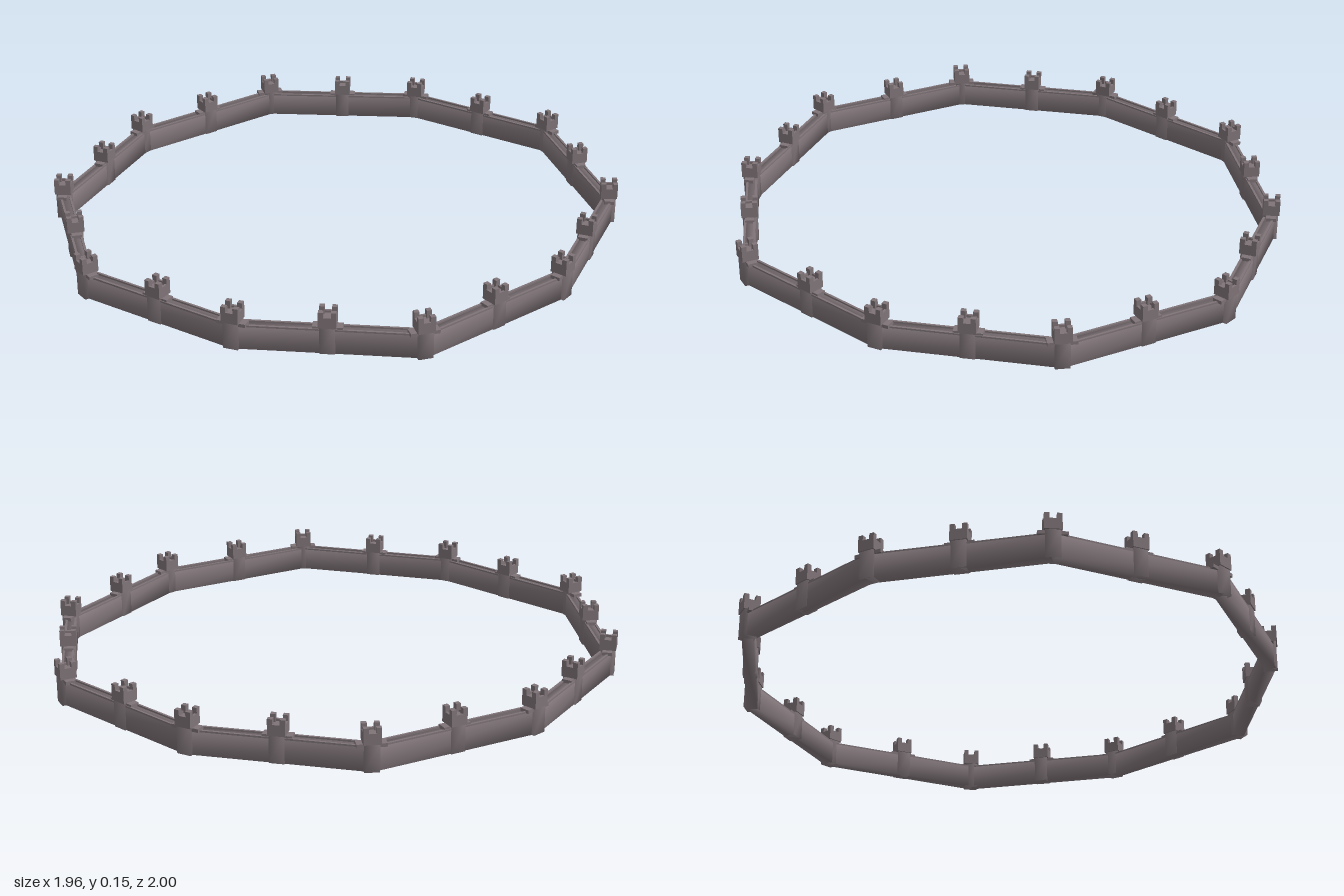
import * as THREE from 'three';
import { mergeVertices } from 'three/addons/utils/BufferGeometryUtils.js';

const stone = new THREE.MeshStandardMaterial({ color: 0x7f7478 });
stone.name = 'mauve grey stone';

// Box standing on height y0, optionally with soft shared normals
function block(parent, name, [w, h, d], [x, y0, z], soft = false) {
  let geo = new THREE.BoxGeometry(w, h, d);
  if (soft) {
    geo.deleteAttribute('normal');
    geo.deleteAttribute('uv');
    geo = mergeVertices(geo);
    geo.computeVertexNormals();
  }
  const mesh = new THREE.Mesh(geo, stone);
  mesh.name = name;
  mesh.position.set(x, y0 + h / 2, z);
  parent.add(mesh);
  return mesh;
}

// Square tower; local x runs along the wall, local z across it
function tower(name) {
  const g = new THREE.Group();
  g.name = name;
  block(g, 'towerBody', [0.05, 0.1, 0.05], [0, 0, 0], true);
  block(g, 'towerStep', [0.098, 0.012, 0.034], [0, 0.082, 0]);
  block(g, 'towerHead', [0.058, 0.03, 0.058], [0, 0.095, 0]);
  for (const sx of [-1, 1]) {
    for (const sz of [-1, 1]) {
      block(g, 'cornerMerlon', [0.017, 0.027, 0.017], [sx * 0.0205, 0.125, sz * 0.0205]);
    }
  }
  // low parapet between the merlons
  for (const s of [-1, 1]) {
    block(g, 'headParapet', [0.024, 0.008, 0.008], [0, 0.125, s * 0.025]);
    block(g, 'headParapet', [0.008, 0.008, 0.024], [s * 0.025, 0.125, 0]);
  }
  return g;
}

// Straight wall with a shallow walkway between two kerbs
function wall(length) {
  const g = new THREE.Group();
  g.name = 'wallSection';
  block(g, 'wallBody', [length, 0.081, 0.04], [0, 0, 0], true);
  for (const s of [-1, 1]) {
    block(g, 'wallKerb', [length, 0.006, 0.008], [0, 0.081, s * 0.016]);
  }
  return g;
}

export function createModel() {
  const model = new THREE.Group();
  model.name = 'ringWall';
  // Corner positions (x, z) around the ring
  const corners = [
    [-0.04, -0.97], [0.525, -0.795], [0.93, -0.365], [0.945, 0.24], [0.595, 0.72],
    [0.045, 0.97], [-0.525, 0.77], [-0.935, 0.34], [-0.945, -0.255], [-0.595, -0.73],
  ].map(([x, z]) => new THREE.Vector3(x, 0, z));
  const n = corners.length;
  const angle = (d) => Math.atan2(-d.z, d.x);

  corners.forEach((a, i) => {
    const b = corners[(i + 1) % n];
    const prev = corners[(i + n - 1) % n];
    const along = b.clone().sub(a);
    const mid = a.clone().add(b).multiplyScalar(0.5);

    const section = wall(along.length());
    section.position.copy(mid);
    section.rotation.y = angle(along);
    model.add(section);

    const midTower = tower('middleTower');
    midTower.position.copy(mid);
    midTower.rotation.y = angle(along);
    model.add(midTower);

    // corner towers follow the bisector of the two walls
    const bisector = along.clone().normalize().add(a.clone().sub(prev).normalize());
    const cornerTower = tower('cornerTower');
    cornerTower.position.copy(a);
    cornerTower.rotation.y = angle(bisector);
    model.add(cornerTower);
  });
  return model;
}
